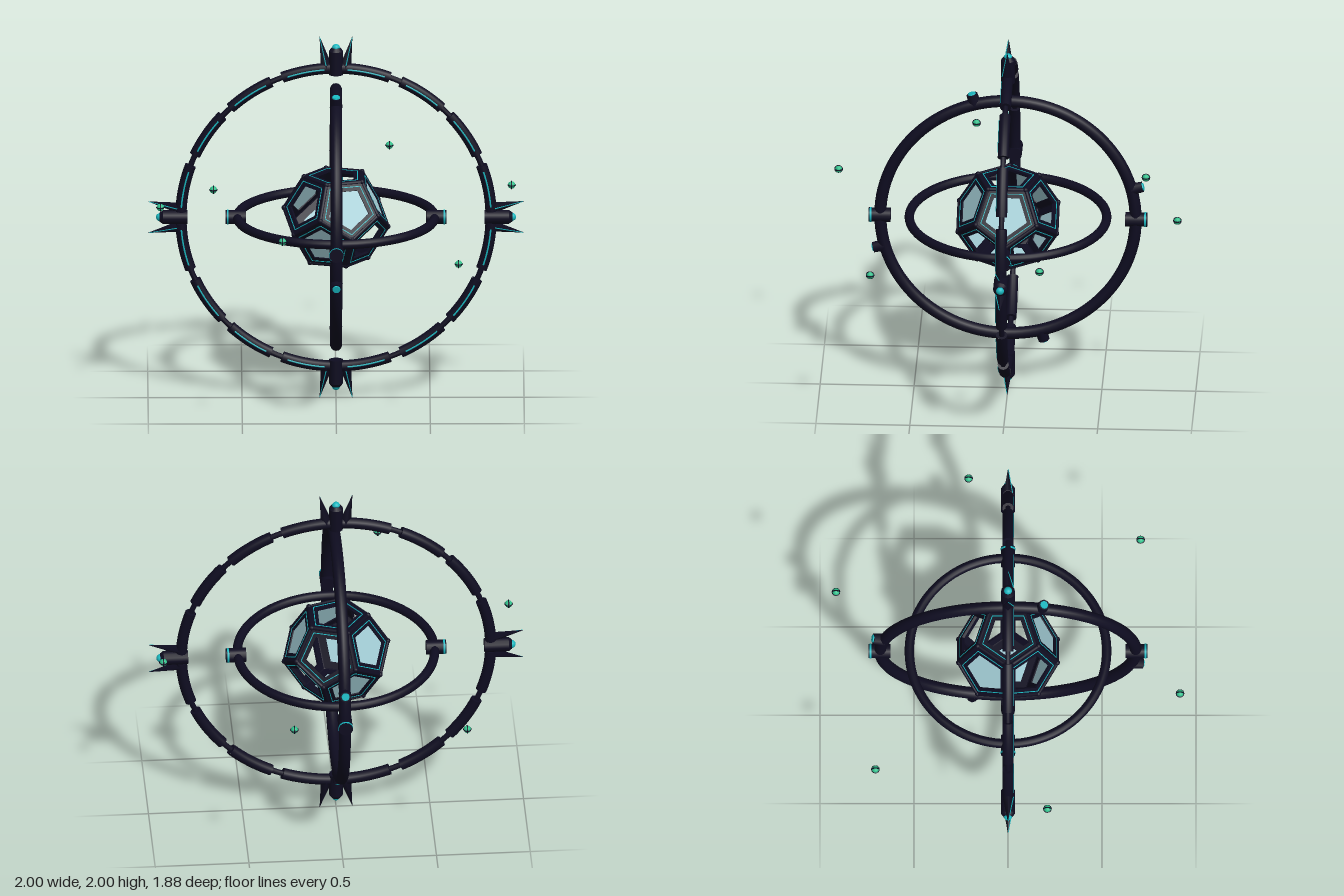
import * as THREE from 'three';

const mat = (name, color, side = THREE.FrontSide) => {
  const m = new THREE.MeshStandardMaterial({ color, side });
  m.name = name;
  return m;
};

export function createModel() {
  const dark = mat('darkMetal', 0x0e0c20);
  const cyan = mat('cyanGlow', 0x18b8c0);
  const glass = mat('paleGlass', 0xa5d0d8, THREE.DoubleSide);
  const green = mat('greenGlow', 0x2fbf8a);

  const model = new THREE.Group();
  model.name = 'ringedCore';
  const body = new THREE.Group();
  body.name = 'body';
  body.position.y = 1;
  model.add(body);

  const V = (x, y, z) => new THREE.Vector3(x, y, z);
  const add = (parent, name, geometry, material, x = 0, y = 0, z = 0) => {
    const m = new THREE.Mesh(geometry, material);
    m.name = name;
    m.position.set(x, y, z);
    parent.add(m);
    return m;
  };
  const group = (parent, name) => {
    const g = new THREE.Group();
    g.name = name;
    parent.add(g);
    return g;
  };
  // Round or tapered bar between two points
  const bar = (parent, name, a, b, r0, r1, sides, material) => {
    const d = b.clone().sub(a);
    const m = add(parent, name, new THREE.CylinderGeometry(r1, r0, d.length(), sides), material);
    m.position.copy(a).add(b).multiplyScalar(0.5);
    m.quaternion.setFromUnitVectors(V(0, 1, 0), d.normalize());
    return m;
  };

  // Outer ring: thin core, sixteen thick segments, light strips on the front
  const outer = group(body, 'outerRing');
  const R = 0.825;
  add(outer, 'outerRingCore', new THREE.TorusGeometry(R, 0.015, 10, 128), dark);
  const arc = THREE.MathUtils.degToRad(18), stripArc = THREE.MathUtils.degToRad(14);
  const segmentGeo = new THREE.TorusGeometry(R, 0.03, 14, 14, arc);
  const stripGeo = new THREE.TorusGeometry(R, 0.005, 6, 12, stripArc);
  const capGeo = new THREE.CircleGeometry(0.03, 14);
  for (let i = 0; i < 16; i++) {
    const seg = group(outer, 'ringSegment');
    const mid = (i + 0.5) * Math.PI / 8;
    seg.rotation.z = mid - arc / 2;
    add(seg, 'segmentShell', segmentGeo, dark);
    add(seg, 'segmentStartCap', capGeo, dark, R, 0, 0).rotation.x = Math.PI / 2;
    const end = add(seg, 'segmentEndCap', capGeo, dark, R * Math.cos(arc), R * Math.sin(arc), 0);
    end.rotation.set(-Math.PI / 2, arc, 0, 'ZXY');
    end.quaternion.setFromUnitVectors(V(0, 0, 1), V(-Math.sin(arc), Math.cos(arc), 0));
    add(seg, 'lightStrip', stripGeo, cyan, 0, 0, 0.028).rotation.z = (arc - stripArc) / 2;
  }

  // Four pronged nodes on the outer ring
  for (let i = 0; i < 4; i++) {
    const node = group(outer, 'prongedNode');
    node.rotation.z = i * Math.PI / 2;
    bar(node, 'nodeBody', V(0, 0.79, 0), V(0, 0.92, 0), 0.038, 0.038, 12, dark);
    bar(node, 'nodeCollar', V(0, 0.92, 0), V(0, 0.938, 0), 0.038, 0.025, 12, dark);
    add(node, 'nodeLamp', new THREE.SphereGeometry(0.022, 14, 10), cyan, 0, 0.936, 0);
    for (const s of [-1, 1]) {
      bar(node, 'prong', V(s * 0.05, 0.83, 0), V(s * 0.087, 1, 0), 0.031, 0.0005, 4, dark);
      bar(node, 'prongLight', V(s * 0.053, 0.845, 0.029), V(s * 0.086, 0.995, 0.002), 0.003, 0.002, 5, cyan);
    }
  }

  // Pivot along +y with a glowing band, later turned to its axis
  const pivot = (parent, from, to) => {
    const g = group(parent, 'pivot');
    bar(g, 'pivotBody', V(0, from, 0), V(0, to, 0), 0.038, 0.038, 14, dark);
    bar(g, 'pivotBand', V(0, to - 0.016, 0), V(0, to - 0.006, 0), 0.0395, 0.0395, 14, cyan);
    return g;
  };

  // Middle ring in the side plane
  const middle = group(body, 'middleRing');
  add(middle, 'middleRingTube', new THREE.TorusGeometry(0.68, 0.032, 14, 112), dark).rotation.y = Math.PI / 2;
  for (let i = 0; i < 4; i++) {
    const stud = group(middle, 'ringStud');
    stud.rotation.x = THREE.MathUtils.degToRad(15) + i * Math.PI / 2;
    bar(stud, 'studBody', V(0, 0.68, 0), V(0, 0.742, 0), 0.034, 0.03, 8, dark);
    bar(stud, 'studLamp', V(0, 0.742, 0), V(0, 0.748, 0), 0.022, 0.02, 12, cyan);
  }
  for (const s of [-1, 1]) pivot(middle, 0.625, 0.742).rotation.x = s * Math.PI / 2;

  // Inner ring, lying flat
  const inner = group(body, 'innerRing');
  add(inner, 'innerRingTube', new THREE.TorusGeometry(0.525, 0.025, 14, 96), dark).rotation.x = Math.PI / 2;
  for (const s of [-1, 1]) pivot(inner, 0.48, 0.587).rotation.z = s * Math.PI / 2;

  // Twelve-sided core cage
  const core = group(body, 'core');
  const C = 0.28, inR = 0.7947 * C, faceR = 0.607 * C, midR = 0.982 * C, midY = 0.1876 * C;
  const polar = (deg, r, y) => {
    const a = THREE.MathUtils.degToRad(deg);
    return V(r * Math.cos(a), y, r * Math.sin(a));
  };
  const pentagon = (r, Kind = THREE.Shape) => {
    const pts = [];
    for (let i = 0; i < 5; i++) pts.push(new THREE.Vector2(r * Math.cos(i * 0.4 * Math.PI), r * Math.sin(i * 0.4 * Math.PI)));
    return new Kind(pts);
  };
  const pentFrame = (r, hole, depth) => {
    const s = pentagon(r);
    s.holes.push(pentagon(hole, THREE.Path));
    return new THREE.ExtrudeGeometry(s, { depth, bevelEnabled: false });
  };
  const frameGeo = pentFrame(faceR, faceR * 0.68, 0.014);
  const lineGeo = pentFrame(faceR * 0.85, faceR * 0.82, 0.003);
  const paneGeo = new THREE.ShapeGeometry(pentagon(faceR * 0.7));
  const face = (normal, toCorner, glazed) => {
    const g = group(core, 'coreFace');
    const n = normal.clone().normalize(), u = toCorner.clone().normalize();
    const basis = new THREE.Matrix4().makeBasis(u, n.clone().cross(u), n);
    g.quaternion.setFromRotationMatrix(basis);
    g.position.copy(n).multiplyScalar(inR);
    add(g, 'faceFrame', frameGeo, dark, 0, 0, -0.007);
    add(g, 'faceLightLine', lineGeo, cyan, 0, 0, 0.006);
    if (glazed) add(g, 'glassPane', paneGeo, glass);
  };
  face(V(0, 1, 0), V(-1, 0, 0), false);
  face(V(0, -1, 0), V(1, 0, 0), true);
  const upperGlass = [true, true, false, true, false];
  const lowerGlass = [false, true, false, true, false];
  for (let i = 0; i < 5; i++) {
    for (const s of [1, -1]) {
      const deg = i * 72 + (s > 0 ? 0 : 36);
      const n = polar(deg, 0.8944, s * 0.4472);
      const corner = polar(deg, midR, -s * midY).sub(n.clone().multiplyScalar(inR));
      face(n, corner, (s > 0 ? upperGlass : lowerGlass)[i]);

      // Edge beams and corner joints
      const c = deg + 36;
      const end = polar(c, faceR, s * inR), mid = polar(c, midR, s * midY);
      const beams = [[end, polar(c + 72, faceR, s * inR)], [end, mid], [mid, polar(c + s * 36, midR, -s * midY)]];
      for (const [a, b] of beams) bar(core, 'edgeBeam', a, b, 0.011, 0.011, 8, dark);
      for (const p of [end, mid]) add(core, 'cornerJoint', new THREE.SphereGeometry(0.015, 10, 8), dark, p.x, p.y, p.z);
    }
  }

  // Remaining slanted waist beams close the zigzag
  for (let i = 0; i < 5; i++) {
    bar(core, 'waistBeam', polar(i * 72 + 36, midR, midY), polar(i * 72, midR, -midY), 0.011, 0.011, 8, dark);
    bar(core, 'waistBeam', polar(i * 72 + 36, midR, midY), polar(i * 72 + 72, midR, -midY), 0.011, 0.011, 8, dark);
  }

  // Six small orbiting beads in opposite pairs
  const ballGeo = new THREE.SphereGeometry(0.02, 12, 10);
  const bandGeo = new THREE.TorusGeometry(0.0195, 0.0035, 6, 20);
  for (const [x, y, z] of [[0.935, 0.115, -0.21], [0.65, -0.055, 0.705], [0.287, 0.13, -0.915]]) {
    for (const s of [-1, 1]) {
      const bead = group(body, 'orbitBead');
      bead.position.set(s * x, y, s * z);
      add(bead, 'beadBall', ballGeo, green);
      add(bead, 'beadBand', bandGeo, dark).rotation.x = Math.PI / 2;
      add(bead, 'beadBand', bandGeo, dark).rotation.y = Math.PI / 2;
    }
  }
  return model;
}
